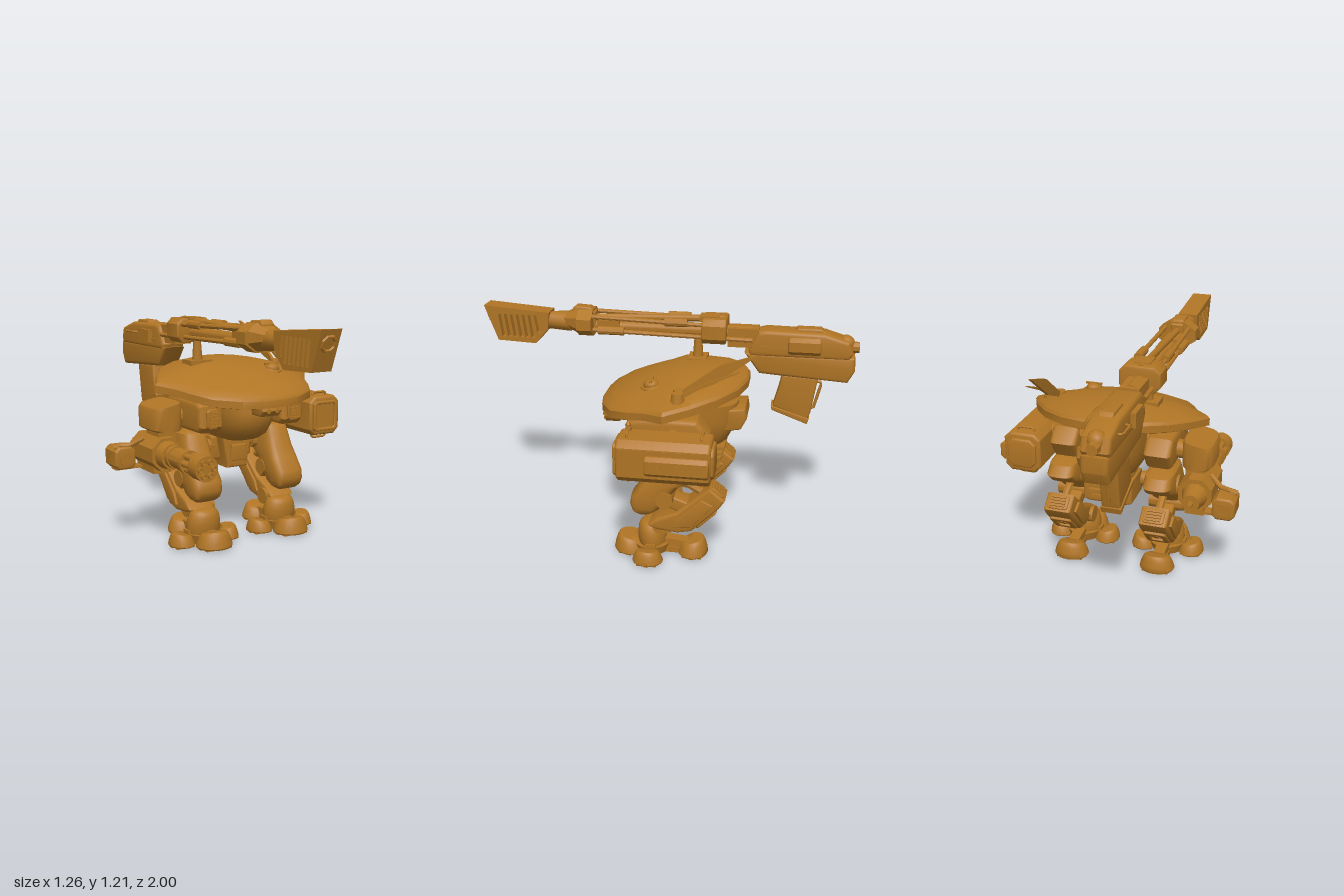
import * as THREE from 'three';
import { toCreasedNormals } from 'three/addons/utils/BufferGeometryUtils.js';

const bronze = new THREE.MeshStandardMaterial({ color: 0xb07525 });
bronze.name = 'bronze';
const CX = 0.04; // centre line of the walker

function group(name, parent, x = 0, y = 0, z = 0) {
  const g = new THREE.Group();
  g.name = name;
  g.position.set(x, y, z);
  parent.add(g);
  return g;
}
function add(parent, name, geo, x = 0, y = 0, z = 0, rx = 0, ry = 0, rz = 0) {
  const m = new THREE.Mesh(toCreasedNormals(geo, 0.6), bronze);
  m.name = name;
  m.position.set(x, y, z);
  m.rotation.set(rx, ry, rz);
  parent.add(m);
  return m;
}
const box = (w, h, d) => new THREE.BoxGeometry(w, h, d);
const cylY = (r1, r2, h, n = 16) => new THREE.CylinderGeometry(r1, r2, h, n, 1, false, Math.PI / n);
const cylZ = (rFront, rBack, h, n = 16) => cylY(rFront, rBack, h, n).rotateX(Math.PI / 2);
const cylX = (r, h, n = 16) => cylY(r, r, h, n).rotateZ(Math.PI / 2);
const lathe = (points, n) => new THREE.LatheGeometry(points.map(p => new THREE.Vector2(...p)), n);

// Extrusion with bevels kept inside the outline, centred on its depth
function slab(points, depth, bevel = 0, holes = []) {
  const shape = new THREE.Shape(points.map(p => new THREE.Vector2(...p)));
  for (const h of holes) shape.holes.push(new THREE.Path(h.map(p => new THREE.Vector2(...p))));
  return new THREE.ExtrudeGeometry(shape, {
    depth: depth - 2 * bevel, bevelEnabled: bevel > 0, bevelThickness: bevel, bevelSize: bevel, bevelOffset: -bevel, bevelSegments: 3,
  }).translate(0, 0, bevel - depth / 2);
}
// The outline is given as [z, y] and the depth lies along x
const side = (points, depth, bevel, holes) => slab(points, depth, bevel, holes).rotateY(-Math.PI / 2);
const chamfer = (w, h, c) => [[-w + c, -h], [w - c, -h], [w, -h + c], [w, h - c], [w - c, h], [-w + c, h], [-w, h - c], [-w, -h + c]];

// Skin over rings of [x, y, z], first and last ring closed by fans
function loft(rings) {
  const pos = [], n = rings[0].length;
  const mid = r => r.reduce((s, p) => s.map((v, i) => v + p[i] / n), [0, 0, 0]);
  const low = mid(rings[0]), high = mid(rings.at(-1));
  for (let j = 0; j < n; j++) {
    const k = (j + 1) % n;
    for (let i = 0; i + 1 < rings.length; i++) {
      const [a, b, c, d] = [rings[i][j], rings[i][k], rings[i + 1][k], rings[i + 1][j]];
      pos.push(...a, ...b, ...c, ...a, ...c, ...d);
    }
    pos.push(...low, ...rings[0][k], ...rings[0][j], ...high, ...rings.at(-1)[j], ...rings.at(-1)[k]);
  }
  const g = new THREE.BufferGeometry();
  g.setAttribute('position', new THREE.Float32BufferAttribute(pos, 3));
  return g;
}
// Rounded-box ring of half width w between a front and a back point [z, y]
function roundRing(w, [zf, yf], [zb, yb], power = 0.52) {
  const soft = v => Math.sign(v) * Math.abs(v) ** power;
  return Array.from({ length: 24 }, (_, i) => {
    const a = i * Math.PI / 12, t = (1 + soft(Math.sin(a))) / 2;
    return [w * soft(Math.cos(a)), yf + (yb - yf) * t, zf + (zb - zf) * t];
  });
}
function rod(parent, name, points, r) {
  const path = new THREE.CurvePath();
  const v = points.map(p => new THREE.Vector3(...p));
  for (let i = 1; i < v.length; i++) path.add(new THREE.LineCurve3(v[i - 1], v[i]));
  add(parent, name, new THREE.TubeGeometry(path, (v.length - 1) * 4, r, 8));
}

function buildShell(root) {
  const g = group('shell', root, CX);
  const half = [[0.06, 0.31], [0.17, 0.29], [0.3, 0.22], [0.36, 0.12], [0.4, 0.03], [0.475, -0.07], [0.41, -0.2], [0.32, -0.32], [0.2, -0.41], [0.07, -0.45]];
  const outline = [...half, ...half.map(([x, z]) => [-x, z]).reverse()];
  const ring = (s, lift) => outline.map(([x, z]) => {
    const zz = -0.09 + (z + 0.09) * s;
    return [x * s, 0.848 - 0.178 * zz + lift, zz];
  });
  add(g, 'saucer', loft([ring(0.5, -0.01), ring(0.9, -0.025), ring(0.97, -0.05), ring(1, -0.045), ring(1, -0.008), ring(0.97, 0.008),
    ring(0.85, 0.026), ring(0.65, 0.055), ring(0.4, 0.077), ring(0.18, 0.087)]));
  // Roof hatch, aerial base and aerials
  add(g, 'hatchRing', new THREE.TorusGeometry(0.05, 0.008, 8, 20).rotateX(Math.PI / 2), 0.18, 0.904, 0.03, 0.18, 0, -0.1);
  add(g, 'hatchDome', new THREE.SphereGeometry(0.042, 16, 10).scale(1, 0.75, 1), 0.18, 0.907, 0.03);
  add(g, 'hatchBar', box(0.09, 0.01, 0.012), 0.18, 0.934, 0.03);
  for (const [x, y, z] of [[0.31, 1.13, -0.5], [0.365, 1.06, -0.42]]) {
    add(g, 'aerialBase', cylY(0.028, 0.036, 0.05), x, 0.912, -0.13);
    add(g, 'aerial', side([[-0.12, 0.915], [-0.15, 0.91], [z * 0.6, 0.975], [z, y - 0.005], [z, y], [z * 0.65, y - 0.06]], 0.016), x);
  }
  // Chin sensor
  add(g, 'chinSensor', side([[0.3, 0.76], [0.31, 0.73], [0.28, 0.7], [0.2, 0.7], [0.18, 0.78]], 0.12, 0.01));
  for (const x of [-0.025, 0.025]) add(g, 'chinLens', cylZ(0.012, 0.012, 0.02), x, 0.73, 0.302);
}

function buildTorso(root) {
  const g = group('torso', root, CX);
  const ring = (y, w, f, b) => roundRing(w, [f, y], [b, y], 0.75);
  add(g, 'hull', loft([ring(0.53, 0.075, 0.03, -0.28), ring(0.545, 0.11, 0.09, -0.31), ring(0.58, 0.135, 0.15, -0.35), ring(0.64, 0.155, 0.19, -0.38), ring(0.7, 0.166, 0.2, -0.4), ring(0.79, 0.168, 0.18, -0.4)]));
  add(g, 'neck', cylY(0.12, 0.14, 0.12, 20), 0, 0.81, -0.13);
  add(g, 'collarRing', cylY(0.17, 0.17, 0.03, 20), 0, 0.785, -0.13);
  add(g, 'engine', side([[-0.3, 0.64], [-0.42, 0.66], [-0.45, 0.72], [-0.44, 0.775], [-0.3, 0.76]], 0.22, 0.01));
  // Ribbed belly and pelvis
  for (let i = 0; i < 4; i++) add(g, 'bellyRib', box(0.23 - i * 0.02, 0.016, 0.2), 0, 0.55 - i * 0.035, -0.24 + i * 0.01);
  add(g, 'pelvis', slab([[-0.13, 0.54], [-0.13, 0.42], [-0.1, 0.41], [0.1, 0.41], [0.13, 0.42], [0.13, 0.54]], 0.2, 0.01), 0, 0, -0.2);
  add(g, 'pelvisGuard', slab([[-0.095, 0.55], [-0.065, 0.4], [-0.062, 0.37], [0.062, 0.37], [0.065, 0.4], [0.095, 0.55]], 0.16, 0.012), 0, 0, -0.11);
  add(g, 'guardPanel', slab([[-0.045, 0.5], [-0.05, 0.41], [0.05, 0.41], [0.045, 0.5]], 0.02, 0.005), 0, 0, -0.025);
  for (const s of [-1, 1]) {
    // Shoulder housing with louvres
    const h = group('shoulder', g, s * 0.252, 0, 0);
    add(h, 'housing', side([[0.1, 0.61], [0.13, 0.64], [0.12, 0.75], [0.08, 0.775], [-0.22, 0.775], [-0.28, 0.7], [-0.22, 0.61]], 0.145, 0.025));
    add(h, 'louvreFrame', slab(chamfer(0.035, 0.052, 0.014), 0.03, 0.005), 0, 0.685, 0.125);
    for (let i = 0; i < 5; i++) add(h, 'louvre', box(0.05, 0.008, 0.012), 0, 0.65 + i * 0.017, 0.143);
    add(g, 'shoulderAxle', cylX(0.06, 0.2), s * 0.16, 0.7, -0.1);
    add(g, 'armAxle', cylX(0.05, 0.12), s * 0.34, 0.68, -0.1);
    add(g, 'hipAxle', cylX(0.022, 0.16), s * 0.18, 0.49, -0.12);
    add(g, 'hipCap', cylX(0.04, 0.03), s * 0.15, 0.49, -0.12);
  }
}

// Slatted vent on the upper end and a framed recess on the rear face of the shin
function buildShinDetails(parent) {
  const vent = group('shinVent', parent, 0, 0.386, -0.328);
  vent.rotation.x = 0.89;
  add(vent, 'ventFrame', slab(chamfer(0.055, 0.04, 0.01), 0.02, 0.004));
  for (let i = -1.5; i < 2; i++) add(vent, 'ventSlat', box(0.08, 0.009, 0.008), 0, i * 0.016, -0.013);
  const recess = group('shinRecess', parent, 0, 0.24, -0.268);
  recess.rotation.x = -0.785;
  add(recess, 'recessFrame', slab(chamfer(0.06, 0.07, 0.01), 0.03, 0.004, [chamfer(0.032, 0.04, 0.005)]));
  add(recess, 'recessBolt', cylZ(0.018, 0.018, 0.02), 0, 0, 0);
}

function buildLeg(root, s) {
  const g = group(s > 0 ? 'leftLeg' : 'rightLeg', root, CX + s * 0.26);
  // Rounded thigh: half width, front point, back point
  const thigh = [
    [0.056, [0.085, 0.24], [0.04, 0.238]], [0.077, [0.112, 0.262], [0.01, 0.25]], [0.088, [0.125, 0.3], [-0.03, 0.275]],
    [0.091, [0.118, 0.345], [-0.08, 0.34]], [0.09, [0.07, 0.41], [-0.13, 0.41]], [0.086, [0.035, 0.47], [-0.28, 0.485]],
    [0.082, [0.005, 0.54], [-0.33, 0.53]], [0.074, [-0.02, 0.585], [-0.29, 0.58]], [0.05, [-0.05, 0.603], [-0.2, 0.603]],
  ];
  add(g, 'thigh', loft(thigh.map(r => roundRing(...r))));
  add(g, 'thighDisc', cylX(0.055, 0.185), 0, 0.5, -0.16);
  add(g, 'kneeAxle', cylX(0.045, 0.19), 0, 0.345, -0.06);
  add(g, 'kneeLink', side([[-0.02, 0.38], [0, 0.32], [-0.16, 0.25], [-0.2, 0.31]], 0.1, 0.01));
  rod(g, 'piston', [[0, 0.44, -0.12], [0, 0.36, -0.26]], 0.022);
  // Shin block
  add(g, 'shin', side([[0.03, 0.185], [-0.02, 0.23], [-0.12, 0.27], [-0.23, 0.37], [-0.29, 0.42], [-0.37, 0.355], [-0.34, 0.31], [-0.2, 0.17], [-0.13, 0.155], [-0.02, 0.165]], 0.15, 0.014));
  for (const k of [-1, 1]) add(g, 'shinPlate', side([[-0.1, 0.19], [-0.13, 0.25], [-0.25, 0.36], [-0.31, 0.33], [-0.2, 0.2]], 0.016, 0.004), k * 0.08);
  buildShinDetails(g);
  // Ankle and foot
  const f = group('foot', g, -s * 0.015, 0, 0);
  add(f, 'ankleAxle', cylX(0.045, 0.16), 0, 0.18, -0.04);
  const dome = [[0, 0], [0.95, 0], [1, 0.2], [0.96, 0.5], [0.88, 0.73], [0.74, 0.9], [0.55, 0.98], [0.35, 1], [0, 1]];
  add(f, 'ankleDome', lathe(dome, 24).scale(0.097, 0.13, 0.075), 0, 0.06, 0.012, 0.12);
  add(f, 'ankleBase', cylY(0.1, 0.085, 0.05, 20), 0, 0.035, 0.02);
  add(f, 'heelArm', box(0.06, 0.05, 0.2), 0, 0.06, -0.09, -0.1);
  add(f, 'soleBar', box(0.22, 0.03, 0.07), 0, 0.024, 0.02);
  add(f, 'soleBar', box(0.07, 0.03, 0.3), 0, 0.024, -0.02);
  // Toe pads, higher on the outside, with treads below
  const pad = [[0, 0], [0.96, 0], [1, 0.08], [0.95, 0.35], [0.84, 0.7], [0.74, 0.92], [0.66, 1], [0, 1]];
  const toes = [[0, 0.13, 0.1, 0.09, 0.092], [0, -0.2, 0.095, 0.08, 0.092], [-0.135, 0.02, 0.07, 0.08, 0.072], [0.135, 0.02, 0.07, 0.08, 0.072]];
  for (const [x, z, rx, rz, h] of toes) {
    const toe = lathe(pad, 24).scale(rx, h, rz), p = toe.attributes.position;
    const out = x ? [Math.sign(x) / rx, 0] : [0, Math.sign(z) / rz];
    for (let i = 0; i < p.count; i++) {
      const t = p.getX(i) * out[0] + p.getZ(i) * out[1];
      p.setY(i, p.getY(i) * (0.84 + 0.22 * t));
    }
    add(f, 'toe', toe, x, 0.007, z);
    add(f, 'toeStrap', box(0.05, 0.03, 0.05), x * 0.6, 0.065, z * 0.6);
    for (const k of [-0.5, 0, 0.5]) add(f, 'tread', box(rx * (k ? 1.5 : 1.8), 0.012, 0.022), x, 0.006, z + k * rz);
  }
}

function buildGatlingArm(root) {
  const g = group('rightArm', root, -0.41, 0, 0);
  // Rounded upper arm with a top falling outwards
  const arm = [[0.07, 0.62], [0.082, 0.63], [0.082, 0.74], [0.072, 0.755]].map(([w, y], i) =>
    roundRing(w, [0.04, y], [-0.22, y]).map(p => [p[0] + 0.008, p[1] + (i > 1 ? p[0] * 0.2 : 0), p[2]]));
  add(g, 'upperArm', loft(arm));
  add(g, 'elbow', box(0.1, 0.08, 0.14), 0.02, 0.595, -0.1);
  add(g, 'gunHousing', cylZ(0.094, 0.094, 0.26, 8), 0, 0.5, -0.12);
  add(g, 'housingRing', cylZ(0.066, 0.074, 0.06, 16), 0, 0.5, 0.04);
  add(g, 'barrelSleeve', cylZ(0.052, 0.052, 0.15, 16), 0, 0.505, 0.145);
  add(g, 'rearMotor', cylZ(0.07, 0.045, 0.1, 12), 0, 0.5, -0.29);
  add(g, 'rearSpike', cylZ(0.015, 0.015, 0.06, 8), 0, 0.5, -0.36);
  add(g, 'spindle', cylZ(0.02, 0.02, 0.34, 10), 0, 0.505, 0.24);
  for (let i = 0; i < 6; i++) {
    const a = i * Math.PI / 3;
    const tube = lathe([[0.008, -0.18], [0.016, -0.18], [0.016, 0.18], [0.009, 0.18], [0.009, 0.1]], 10);
    add(g, 'barrel', tube.rotateX(Math.PI / 2), Math.cos(a) * 0.038, 0.505 + Math.sin(a) * 0.038, 0.245);
  }
  for (const [z, d, r] of [[0.372, 0.08, 0.064], [0.23, 0.03, 0.06], [0.1, 0.03, 0.06]]) add(g, 'barrelClamp', cylZ(r, r, d, 16), 0, 0.505, z);
  // Ammunition drum and feed
  add(g, 'ammoDrum', slab(chamfer(0.058, 0.06, 0.022), 0.14, 0.012), -0.157, 0.465, -0.23);
  add(g, 'drumCap', cylZ(0.035, 0.035, 0.15), -0.157, 0.465, -0.23);
  rod(g, 'feedBelt', [[-0.21, 0.52, -0.2], [-0.17, 0.53, -0.2], [-0.12, 0.53, -0.18], [-0.06, 0.57, -0.14]], 0.014);
  add(g, 'drumBracket', box(0.24, 0.012, 0.06), -0.08, 0.405, -0.22);
  add(g, 'lowerBracket', box(0.1, 0.04, 0.2), 0, 0.41, -0.15);
}

function buildMissilePod(root) {
  const g = group('leftArm', root, 0.5, 0.64, -0.085);
  add(g, 'pod', slab(chamfer(0.1, 0.108, 0.033), 0.46, 0.015));
  add(g, 'podFrame', slab(chamfer(0.081, 0.083, 0.015), 0.03, 0.006, [chamfer(0.06, 0.066, 0.008)]), -0.003, 0, 0.23);
  add(g, 'podDoor', box(0.116, 0.13, 0.012), -0.003, 0, 0.23);
  add(g, 'sidePod', slab(chamfer(0.03, 0.05, 0.018), 0.31, 0.012), 0.099, -0.005, -0.07);
  for (const z of [-0.16, -0.07, 0.02]) add(g, 'sideStud', cylX(0.014, 0.008), 0.129, 0, z);
  add(g, 'sideRail', box(0.012, 0.014, 0.42), 0.099, 0.065, 0);
  for (const k of [-1, 1]) for (const z of [0.18, -0.18])
    rod(g, 'podHandle', [[-0.055, k * 0.1, z], [-0.05, k * 0.126, z], [0.035, k * 0.126, z], [0.04, k * 0.1, z]], 0.007);
  add(g, 'podRear', slab(chamfer(0.078, 0.08, 0.03), 0.04, 0.01), 0, 0, -0.225);
}

function buildCannon(root) {
  const g = group('roofCannon', root, -0.135, 0, 0);
  // Slotted muzzle brake
  const outline = [[1, 1.2], [0.64, 1.172], [0.65, 1.08], [0.72, 1], [0.93, 1.01]];
  const slots = [];
  for (let i = 0; i < 7; i++) {
    const z = 0.69 + i * 0.033, low = i === 0 ? 1.06 : 1.03;
    slots.push([[z, low], [z + 0.02, low], [z + 0.036, 1.155], [z + 0.014, 1.155]]);
  }
  add(g, 'muzzleCore', side(outline, 0.03));
  for (const s of [-1, 1]) add(g, 'muzzleSide', side(outline, 0.04, 0, slots), s * 0.035);
  add(g, 'muzzleRing', new THREE.TorusGeometry(0.036, 0.009, 6, 8, Math.PI * 2), 0, 1.135, 0.978, 0.35, 0, Math.PI / 8);
  // Collar and barrel bundle
  add(g, 'barrelNeck', cylZ(0.045, 0.055, 0.14, 12), 0, 1.12, 0.6);
  add(g, 'collarTaper', cylZ(0.05, 0.1, 0.08, 8), 0, 1.13, 0.52).scale.y = 0.75;
  add(g, 'collar', cylZ(0.112, 0.112, 0.08, 8), 0, 1.125, 0.44).scale.y = 0.68;
  add(g, 'collarTop', side([[0.52, 1.19], [0.5, 1.21], [0.42, 1.205], [0.39, 1.18], [0.39, 1.1], [0.52, 1.1]], 0.07, 0.008));
  add(g, 'mainBarrel', cylZ(0.032, 0.036, 0.9), 0, 1.1, 0);
  add(g, 'topBarrel', cylZ(0.018, 0.018, 0.72), 0, 1.158, 0.06, 0.03);
  for (const s of [-1, 1]) {
    rod(g, 'sideRod', [[s * 0.065, 1.165, 0.42], [s * 0.075, 1.145, -0.3]], 0.012);
    rod(g, 'lowerRod', [[s * 0.05, 1.09, 0.42], [s * 0.065, 1.075, -0.45]], 0.012);
    add(g, 'rodSleeve', cylZ(0.022, 0.022, 0.14, 10), s * 0.055, 1.09, 0.3);
    add(g, 'rodSleeve', cylZ(0.022, 0.022, 0.12, 10), s * 0.07, 1.155, -0.05);
  }
  add(g, 'forwardClamp', box(0.08, 0.06, 0.12), 0, 1.11, 0.32);
  add(g, 'cradle', slab(chamfer(0.105, 0.065, 0.03), 0.13, 0.01), 0, 1.115, -0.25);
  add(g, 'cradleTop', box(0.08, 0.03, 0.1), 0, 1.17, -0.22);
  add(g, 'mountPost', cylY(0.02, 0.03, 0.14), 0, 1.0, -0.16);
  add(g, 'mountFoot', box(0.13, 0.04, 0.1), 0, 0.94, -0.16);
  // Receiver
  add(g, 'receiverFront', box(0.1, 0.1, 0.16), 0, 1.08, -0.4);
  add(g, 'receiver', side([[-0.43, 1.02], [-0.48, 1.12], [-0.52, 1.13], [-0.82, 1.125], [-0.95, 1.085], [-0.97, 1.02], [-0.95, 0.99], [-0.44, 0.99]], 0.14, 0.02));
  add(g, 'lowerReceiver', side([[-0.41, 1.005], [-0.98, 1.005], [-0.985, 0.93], [-0.95, 0.865], [-0.55, 0.89], [-0.49, 0.895]], 0.13, 0.02));
  add(g, 'topCap', side([[-0.66, 1.12], [-0.68, 1.14], [-0.8, 1.14], [-0.84, 1.11]], 0.07, 0.006));
  add(g, 'rearDome', new THREE.SphereGeometry(0.045, 16, 10), 0, 1.065, -0.93);
  add(g, 'rearNozzle', cylZ(0.035, 0.028, 0.06, 8), 0, 1.045, -0.97);
  add(g, 'leftBulge', slab(chamfer(0.045, 0.045, 0.02), 0.17, 0.012), 0.06, 1.06, -0.72);
  add(g, 'rightBox', box(0.05, 0.07, 0.12), -0.07, 1.06, -0.62);
  rod(g, 'rightHandle', [[-0.06, 1.07, -0.75], [-0.092, 1.07, -0.755], [-0.092, 1.07, -0.855], [-0.06, 1.07, -0.86]], 0.006);
  for (const s of [-1, 1]) add(g, 'sideGroove', box(0.012, 0.014, 0.25), s * 0.07, 1.04, -0.6);
  // Rear grip and guard
  add(g, 'grip', side([[-0.61, 0.89], [-0.6, 0.83], [-0.57, 0.71], [-0.755, 0.64], [-0.77, 0.68], [-0.8, 0.88]], 0.09, 0.012));
  add(g, 'gripPlate', side([[-0.56, 0.715], [-0.565, 0.69], [-0.755, 0.62], [-0.765, 0.65]], 0.1, 0.005));
  rod(g, 'gripGuard', [[0, 0.85, -0.78], [0, 0.845, -0.82], [0, 0.7, -0.785], [0, 0.69, -0.75]], 0.008);
}

export function createModel() {
  const root = new THREE.Group();
  root.name = 'walker';
  buildShell(root);
  buildTorso(root);
  for (const s of [-1, 1]) buildLeg(root, s);
  buildGatlingArm(root);
  buildMissilePod(root);
  buildCannon(root);
  return root;
}
